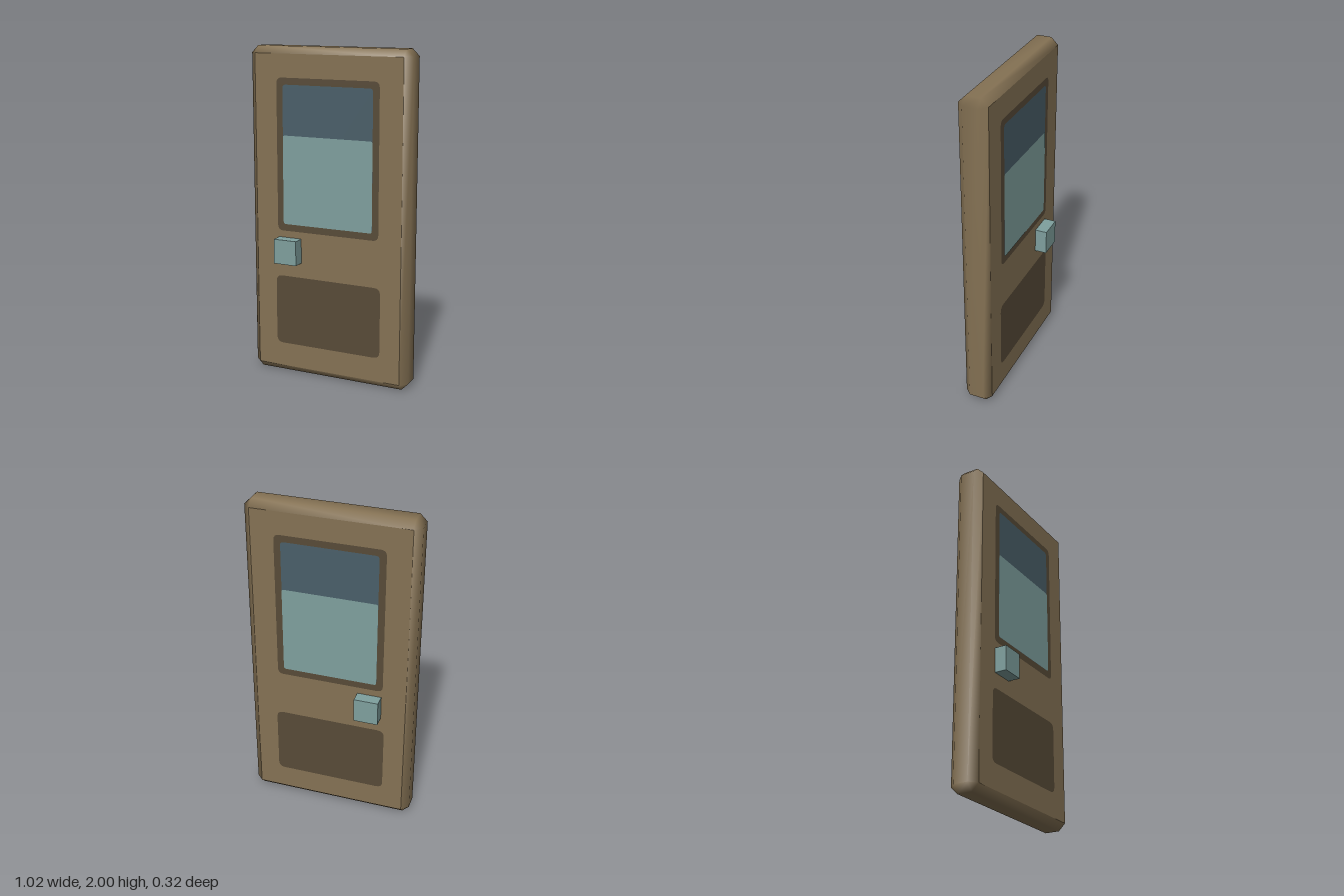
import * as THREE from 'three';
import { mergeVertices } from 'three/addons/utils/BufferGeometryUtils.js';

const W = 0.51, H = 2, D = 0.086, C = 0.042; // half width, height, half depth, chamfer

function material(name, color) {
  const m = new THREE.MeshStandardMaterial({ color });
  m.name = name;
  return m;
}

// Outline with every corner cut by two points; inset 0 = outer rim, C = face edge
function outline(inset) {
  const x = W - C, y0 = C, y1 = H - C, e = C - inset;
  return [
    [x + e, y0], [x + e, y1], [x, y1 + e], [-x, y1 + e],
    [-x - e, y1], [-x - e, y0], [-x, y0 - e], [x, y0 - e],
  ];
}

// Smooth chamfered rim lofted from front edge to back edge
function rimGeometry() {
  const loops = [[C, D], [0, D - C], [0, C - D], [C, -D]];
  const pos = [], index = [];
  for (const [inset, z] of loops) for (const [x, y] of outline(inset)) pos.push(x, y, z);
  for (let l = 0; l < 3; l++) {
    for (let i = 0; i < 8; i++) {
      const a = l * 8 + i, b = l * 8 + (i + 1) % 8, c = a + 8, d = b + 8;
      const corner = i % 2 === 1; // corner facets collapse to triangles at the faces
      if (!(corner && l === 2)) index.push(a, c, d);
      else index.push(a, c, b);
      if (corner && l !== 1) continue;
      index.push(a, d, b);
    }
  }
  let g = new THREE.BufferGeometry();
  g.setAttribute('position', new THREE.Float32BufferAttribute(pos, 3));
  g.setIndex(index);
  g = mergeVertices(g, 1e-4);
  g.computeVertexNormals();
  return g;
}

// Flat rounded rectangle
function roundedRect(x0, x1, y0, y1, r) {
  const s = new THREE.Shape();
  s.moveTo(x0 + r, y0);
  s.lineTo(x1 - r, y0);
  s.quadraticCurveTo(x1, y0, x1, y0 + r);
  s.lineTo(x1, y1 - r);
  s.quadraticCurveTo(x1, y1, x1 - r, y1);
  s.lineTo(x0 + r, y1);
  s.quadraticCurveTo(x0, y1, x0, y1 - r);
  s.lineTo(x0, y0 + r);
  s.quadraticCurveTo(x0, y0, x0 + r, y0);
  return new THREE.ShapeGeometry(s, 4);
}

export function createModel() {
  const wood = material('wood', 0x857254);
  const darkWood = material('dark wood', 0x584b38);
  const paleTeal = material('pale teal', 0x7fa09e);
  const darkGlass = material('dark glass', 0x4a5f69);

  const door = new THREE.Group();
  door.name = 'door';
  const add = (parent, name, geometry, mat) => {
    const mesh = new THREE.Mesh(geometry, mat);
    mesh.name = name;
    parent.add(mesh);
    return mesh;
  };

  add(door, 'rim', rimGeometry(), wood);

  // Both faces carry the same panels; the knob sits on the -x side of each
  for (const side of [1, -1]) {
    const face = new THREE.Group();
    face.name = side > 0 ? 'frontFace' : 'backFace';
    if (side < 0) face.rotation.y = Math.PI;
    door.add(face);

    const board = add(face, 'board', new THREE.PlaneGeometry(2 * (W - C), H - 2 * C), wood);
    board.position.set(0, H / 2, D);

    const plates = [
      ['windowFrame', roundedRect(-0.327, 0.327, 0.905, 1.82, 0.035), darkWood, 0.0015],
      ['lowerPanel', roundedRect(-0.342, 0.342, 0.19, 0.622, 0.04), darkWood, 0.0015],
      ['windowGlass', roundedRect(-0.287, 0.287, 0.947, 1.78, 0.02), darkGlass, 0.003],
      ['windowBlind', roundedRect(-0.287, 0.287, 0.947, 1.482, 0.015), paleTeal, 0.0045],
    ];
    for (const [name, geometry, mat, lift] of plates) {
      add(face, name, geometry, mat).position.z = D + lift;
    }

    const knob = add(face, 'knob', new THREE.BoxGeometry(0.147, 0.15, 0.158 - D), paleTeal);
    knob.position.set(-0.246 * side, 0.789, (0.158 + D) / 2);
  }
  return door;
}
